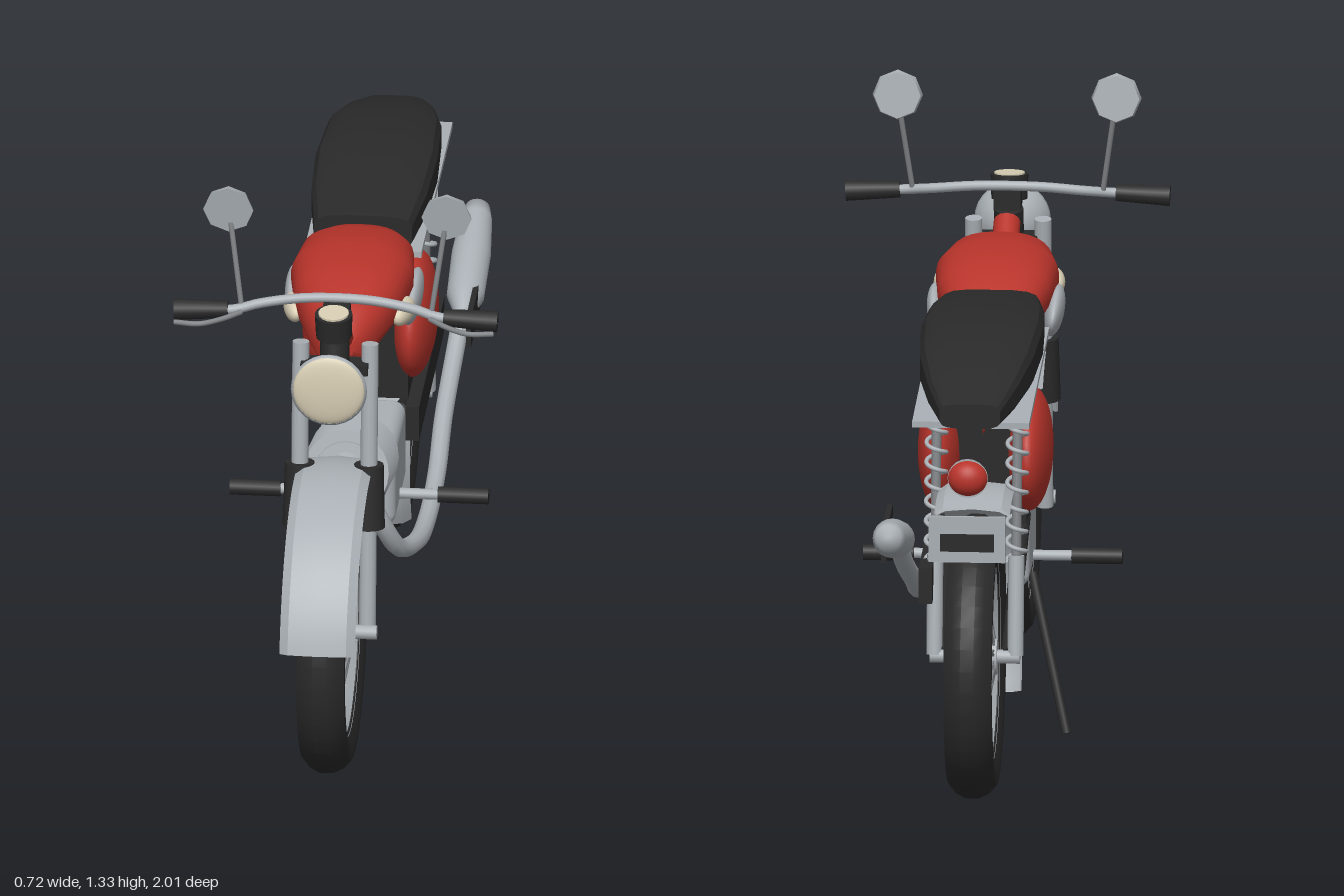
import * as THREE from 'three';
import { toCreasedNormals, mergeGeometries } from 'three/addons/utils/BufferGeometryUtils.js';
import { RoundedBoxGeometry } from 'three/addons/geometries/RoundedBoxGeometry.js';

const material = (name, color, side = THREE.FrontSide) => {
  const m = new THREE.MeshStandardMaterial({ color, side });
  m.name = name;
  return m;
};
const V = (x, y, z) => new THREE.Vector3(x, y, z);

export function createModel() {
  const red = material('red paint', 0xb8342b);
  const black = material('black rubber', 0x2a2a2a);
  const silver = material('silver metal', 0xaab0b5, THREE.DoubleSide);
  const steel = material('dark steel', 0x808386);
  const cream = material('cream glass', 0xd8ceb4);

  const model = new THREE.Group();
  model.name = 'motorcycle';
  const add = (name, geo, mat, parent = model) => {
    const mesh = new THREE.Mesh(geo, mat);
    mesh.name = name;
    parent.add(mesh);
    return mesh;
  };

  // Straight round bar from a to b
  const rodGeo = (a, b, r1, r2 = r1, sides = 12) => {
    const d = b.clone().sub(a), g = new THREE.CylinderGeometry(r2, r1, d.length(), sides);
    g.applyQuaternion(new THREE.Quaternion().setFromUnitVectors(V(0, 1, 0), d.normalize()));
    const c = a.clone().add(b).multiplyScalar(0.5);
    return g.translate(c.x, c.y, c.z);
  };
  const rod = (name, a, b, r, mat, r2 = r, sides = 12) => add(name, rodGeo(a, b, r, r2, sides), mat);
  const tube = (name, pts, r, mat, steps = 40) =>
    add(name, new THREE.TubeGeometry(new THREE.CatmullRomCurve3(pts.map(p => V(...p))), steps, r, 10), mat);
  const box = (name, w, h, d, x, y, z, mat) => {
    const m = add(name, new THREE.BoxGeometry(w, h, d), mat);
    m.position.set(x, y, z);
    return m;
  };
  const ellipsoid = (name, rx, ry, rz, x, y, z, mat) => {
    const m = add(name, new THREE.SphereGeometry(1, 28, 16), mat);
    m.scale.set(rx, ry, rz);
    m.position.set(x, y, z);
    return m;
  };
  // Ring about the x axis; angle 0 points forward, 90 degrees up
  const wheelLathe = (profile, seg, start = 0, length = Math.PI * 2) =>
    toCreasedNormals(new THREE.LatheGeometry([...profile, profile[0]].map(p => new THREE.Vector2(...p)),
      seg, start, length).rotateZ(Math.PI / 2), 0.5);

  // Closed body through sections [z, bottom, top, halfWidth], front to back
  const loft = (sections, power, n, crease) => {
    const pos = [], idx = [];
    const se = v => Math.sign(v) * Math.abs(v) ** (2 / power);
    for (const [z, lo, hi, w] of sections)
      for (let j = 0; j < n; j++) {
        const a = (j + 0.5) / n * Math.PI * 2;
        pos.push(w * se(Math.cos(a)), (lo + hi) / 2 + (hi - lo) / 2 * se(Math.sin(a)), z);
      }
    const last = sections.length - 1, c0 = pos.length / 3;
    for (const s of [sections[0], sections[last]]) pos.push(0, (s[1] + s[2]) / 2, s[0]);
    for (let j = 0; j < n; j++) {
      const k = (j + 1) % n;
      for (let i = 0; i < last; i++) {
        const a = i * n + j, b = i * n + k;
        idx.push(a, a + n, b, b, a + n, b + n);
      }
      idx.push(c0, j, k, c0 + 1, last * n + k, last * n + j);
    }
    const g = new THREE.BufferGeometry();
    g.setAttribute('position', new THREE.Float32BufferAttribute(pos, 3));
    g.setIndex(idx);
    return toCreasedNormals(g, crease);
  };

  // Wheels: tyre, rim, hub and crossed spokes
  const tyre = [[0.228, -0.04], [0.26, -0.053], [0.285, -0.053], [0.305, -0.036], [0.316, -0.015],
    [0.316, 0.015], [0.305, 0.036], [0.285, 0.053], [0.26, 0.053], [0.228, 0.04]];
  const rim = [[0.208, -0.02], [0.234, -0.043], [0.234, 0.043], [0.208, 0.02]];
  const wheel = (name, z) => {
    const w = new THREE.Group();
    w.name = name;
    w.position.set(0, 0.317, z);
    model.add(w);
    add('tyre', wheelLathe(tyre, 40), black, w);
    add('rim', wheelLathe(rim, 40), silver, w);
    add('hub', rodGeo(V(-0.05, 0, 0), V(0.05, 0, 0), 0.04, 0.04, 20), silver, w);
    add('axle', rodGeo(V(-0.1, 0, 0), V(0.1, 0, 0), 0.016), silver, w);
    const spokes = [];
    for (let i = 0; i < 40; i++) {
      const a = i / 40 * Math.PI * 2, b = a + (i % 4 < 2 ? 0.3 : -0.3), x = i % 2 ? 0.043 : -0.043;
      spokes.push(rodGeo(V(x, 0.037 * Math.sin(b), 0.037 * Math.cos(b)),
        V(x * 0.25, 0.212 * Math.sin(a), 0.212 * Math.cos(a)), 0.0035, 0.0035, 5));
    }
    add('spokes', mergeGeometries(spokes), steel, w);
  };
  wheel('frontWheel', 0.635);
  wheel('rearWheel', -0.682);

  // Mudguards
  const guard = [[0.366, -0.084], [0.38, -0.065], [0.386, 0], [0.38, 0.065], [0.366, 0.084],
    [0.362, 0.08], [0.373, 0.06], [0.379, 0], [0.373, -0.06], [0.362, -0.08]];
  const rad = THREE.MathUtils.degToRad;
  add('frontMudguard', wheelLathe(guard, 28, rad(15), rad(109)), silver).position.set(0, 0.32, 0.635);
  add('rearMudguard', wheelLathe(guard, 32, rad(-28), rad(134)), silver).position.set(0, 0.32, -0.682);

  // Fuel tank and seat
  add('fuelTank', loft([[0.46, 0.9, 0.935, 0.03], [0.43, 0.852, 0.965, 0.05], [0.36, 0.865, 1.0, 0.085],
    [0.27, 0.875, 1.028, 0.118], [0.15, 0.88, 1.038, 0.137], [0.02, 0.88, 1.025, 0.125],
    [-0.06, 0.88, 0.995, 0.1], [-0.11, 0.885, 0.965, 0.075]], 2.5, 32, 0.7), red);
  add('seat', loft([[-0.1, 0.912, 0.998, 0.11], [-0.25, 0.91, 1.02, 0.13], [-0.42, 0.907, 1.034, 0.137],
    [-0.62, 0.902, 1.022, 0.127], [-0.76, 0.897, 0.985, 0.1], [-0.866, 0.892, 0.948, 0.068]], 4, 16, 0.4), black);
  box('seatBase', 0.26, 0.014, 0.74, 0, 0.9, -0.47, silver).rotation.x = -0.02;

  // Red frame
  rod('neckTube', V(0, 0.985, 0.505), V(0, 0.91, 0.39), 0.03, red);
  tube('mainFrameTube', [[0, 0.89, 0.43], [0, 0.838, 0.27], [0, 0.814, 0], [0, 0.814, -0.25],
    [0, 0.835, -0.55], [0, 0.86, -0.79]], 0.026, red);
  tube('upperFrameTube', [[0, 0.9, 0.38], [0, 0.865, 0.2], [0, 0.85, 0], [0, 0.83, -0.25]], 0.024, red);
  box('airBox', 0.19, 0.27, 0.19, 0, 0.665, -0.255, black);

  // Engine: tilted finned cylinder and crankcase
  const cyl = V(0, 0.5, 0.08), head = V(0, 0.555, 0.31);
  rod('cylinder', cyl, head, 0.07, silver, 0.07, 24);
  const at = t => cyl.clone().lerp(head, t);
  for (let i = 0; i < 6; i++) {
    const t = 0.14 + i * 0.15;
    rod('coolingFin', at(t), at(t + 0.06), 0.1, silver, 0.095, 24);
  }
  rod('cylinderHead', at(0.98), at(1.16), 0.05, silver, 0.03, 20);
  add('crankcase', new RoundedBoxGeometry(0.18, 0.2, 0.28, 3, 0.03), silver).position.set(0, 0.428, -0.035);

  // Exhaust on the left side
  tube('exhaustPipe', [[0.03, 0.53, 0.3], [0.07, 0.46, 0.315], [0.11, 0.36, 0.26], [0.14, 0.315, 0.13],
    [0.15, 0.303, -0.02], [0.155, 0.335, -0.2], [0.155, 0.4, -0.36], [0.165, 0.485, -0.53], [0.175, 0.555, -0.62]],
  0.021, silver, 60);
  const muffler = [[0.02, -0.2], [0.042, -0.14], [0.044, 0], [0.036, 0.12], [0.028, 0.16], [0, 0.16]];
  const can = add('muffler', new THREE.LatheGeometry(muffler.map(p => new THREE.Vector2(...p)), 20), silver);
  can.position.set(0.178, 0.61, -0.77);
  can.quaternion.setFromUnitVectors(V(0, 1, 0), V(0, 0.28, -0.96).normalize());
  box('heatShield', 0.012, 0.07, 0.235, 0.202, 0.565, -0.57, black);
  box('sideRail', 0.03, 0.082, 0.6, 0.108, 0.487, -0.42, black);

  // Headlight, steering stem and gauge
  const shell = [[0, -0.045], [0.035, -0.04], [0.066, -0.015], [0.082, 0.02], [0.085, 0.03], [0.08, 0.034]];
  add('headlightShell', new THREE.LatheGeometry(shell.map(p => new THREE.Vector2(...p)), 28).rotateX(Math.PI / 2),
    silver).position.set(0, 0.935, 0.68);
  ellipsoid('headlightLens', 0.08, 0.08, 0.015, 0, 0.935, 0.712, cream);
  rod('steeringStem', V(0, 0.815, 0.603), V(0, 1.0, 0.565), 0.033, black);
  box('forkYoke', 0.15, 0.025, 0.05, 0, 0.93, 0.565, black);
  rod('gauge', V(0, 1.015, 0.59), V(0, 1.07, 0.597), 0.04, black, 0.042, 16);
  rod('gaugeFace', V(0, 1.069, 0.597), V(0, 1.074, 0.5975), 0.034, cream, 0.034, 16);
  box('handlebarClamp', 0.06, 0.05, 0.08, 0, 1.035, 0.545, black);
  tube('handlebar', [[-0.36, 1.042, 0.54], [-0.23, 1.046, 0.54], [-0.17, 1.055, 0.52], [-0.07, 1.066, 0.507],
    [0.07, 1.066, 0.507], [0.17, 1.055, 0.52], [0.23, 1.046, 0.54], [0.36, 1.042, 0.54]], 0.011, silver);

  // Tail light and number plate
  rod('tailLightBody', V(0, 0.8, -0.945), V(0, 0.8, -0.91), 0.045, silver, 0.03, 20);
  ellipsoid('tailLightLens', 0.044, 0.04, 0.035, 0, 0.8, -0.943, red);
  box('numberPlate', 0.17, 0.105, 0.008, 0, 0.667, -0.972, silver);
  box('platePanel', 0.12, 0.04, 0.004, 0, 0.66, -0.9775, black);

  // Parts present on both sides
  for (const s of [1, -1]) {
    ellipsoid('sideCover', 0.05, 0.135, 0.175, s * 0.1, 0.685, -0.28, red);
    const pad = ellipsoid('kneePad', 0.022, 0.053, 0.107, s * 0.13, 0.897, 0.1, silver);
    pad.rotation.z = s * -0.15;
    ellipsoid('tankBadge', 0.022, 0.028, 0.054, s * 0.122, 0.925, 0.245, cream).rotation.y = s * -0.2;

    // Front fork
    rod('forkLeg', V(s * 0.077, 0.3, 0.62), V(s * 0.077, 0.98, 0.55), 0.019, silver);
    rod('forkSleeve', V(s * 0.077, 0.555, 0.594), V(s * 0.077, 0.7, 0.579), 0.037, black, 0.033, 16);

    // Rear swing arm and shock absorber
    rod('swingArm', V(s * 0.075, 0.5, -0.16), V(s * 0.075, 0.32, -0.682), 0.018, black);
    const low = V(s * 0.09, 0.32, -0.682), top = V(s * 0.09, 0.9, -0.588);
    rod('shockRod', low, top, 0.011, steel);
    rod('shockBody', low, low.clone().lerp(top, 0.38), 0.018, silver);
    rod('shockCap', low.clone().lerp(top, 0.88), top, 0.024, black);
    const coil = [];
    for (let i = 0; i <= 84; i++) {
      const p = low.clone().lerp(top, 0.36 + 0.52 * i / 84), a = i / 12 * Math.PI * 2;
      coil.push([p.x + 0.022 * Math.cos(a), p.y, p.z + 0.022 * Math.sin(a)]);
    }
    tube('shockSpring', coil, 0.005, silver, 168);

    // Foot pegs, grips, levers and mirrors
    rod('pegBar', V(s * 0.05, 0.365, -0.016), V(s * 0.18, 0.365, -0.016), 0.012, silver);
    rod('footPeg', V(s * 0.175, 0.365, -0.016), V(s * 0.288, 0.365, -0.016), 0.018, black);
    rod('grip', V(s * 0.24, 1.046, 0.54), V(s * 0.36, 1.041, 0.54), 0.019, black, 0.024);
    tube('lever', [[s * 0.21, 1.045, 0.55], [s * 0.25, 1.04, 0.58], [s * 0.3, 1.037, 0.605], [s * 0.355, 1.035, 0.595]],
      0.006, steel, 14);
    rod('mirrorStalk', V(s * 0.212, 1.055, 0.53), V(s * 0.238, 1.24, 0.5), 0.006, steel);
    rod('mirror', V(s * 0.243, 1.275, 0.492), V(s * 0.243, 1.273, 0.508), 0.052, silver, 0.056, 8);
  }

  // Side stand on the right side
  rod('sideStand', V(-0.095, 0.36, -0.14), V(-0.178, 0.022, -0.255), 0.011, black);
  return model;
}
